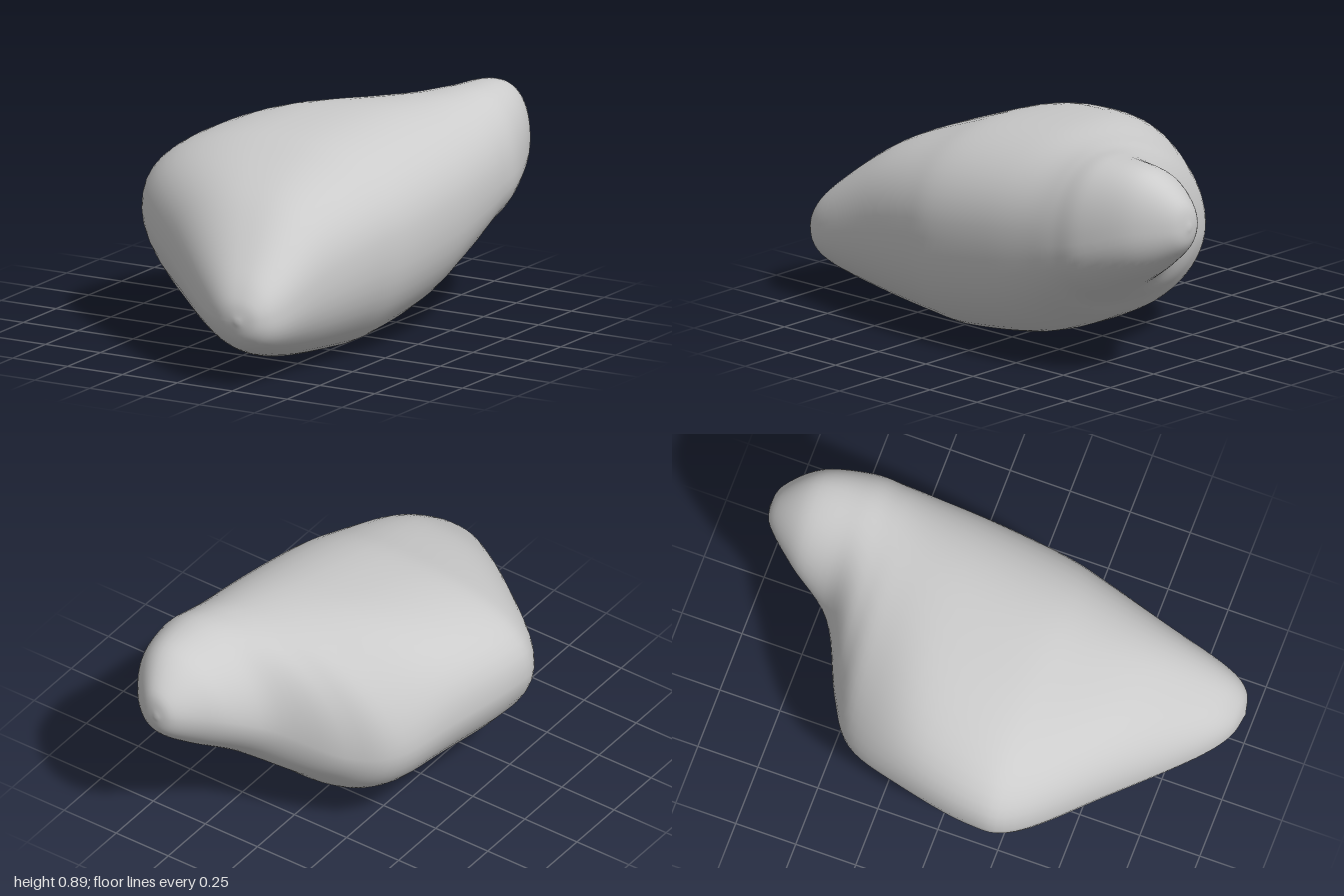
import * as THREE from 'three';
import { mergeVertices } from 'three/addons/utils/BufferGeometryUtils.js';

const FRONT_TIP = new THREE.Vector3(0.27, 0.28, 1);
const BACK_TIP = new THREE.Vector3(0.31, 0.66, -1);

// Cross-sections from front to back: z, then left, top, right and bottom extremes (x, y)
const SECTIONS = [
  [0.97, 0.16, 0.28, 0.26, 0.37, 0.36, 0.28, 0.27, 0.19],
  [0.87, 0.02, 0.30, 0.23, 0.48, 0.415, 0.29, 0.25, 0.125],
  [0.62, -0.26, 0.39, 0.14, 0.67, 0.46, 0.36, 0.18, 0.05],
  [0.34, -0.555, 0.47, 0.06, 0.785, 0.525, 0.42, 0.15, 0.01],
  [0.15, -0.60, 0.50, 0.04, 0.84, 0.565, 0.44, 0.14, 0.003],
  [-0.17, -0.53, 0.48, 0.10, 0.875, 0.587, 0.49, 0.09, 0.04],
  [-0.40, -0.43, 0.42, 0.22, 0.875, 0.588, 0.53, -0.01, 0.13],
  [-0.52, -0.26, 0.41, 0.30, 0.878, 0.585, 0.55, 0.05, 0.23],
  [-0.65, 0.0, 0.51, 0.35, 0.887, 0.576, 0.58, 0.22, 0.33],
  [-0.84, 0.125, 0.62, 0.36, 0.87, 0.51, 0.64, 0.31, 0.45],
  [-0.97, 0.235, 0.66, 0.33, 0.765, 0.40, 0.66, 0.31, 0.565],
];
const RINGS = 72;
const SIDES = 48;

// Roundness exponent of each quarter (upper left, upper right, lower right, lower left)
const FRONT_ROUNDNESS = [2.35, 2.3, 2.15, 1.75];
const BACK_ROUNDNESS = [1.85, 2.25, 2.2, 2.0];

// Smooth line from tip to tip through one extreme of every section
const edgeLine = (k) => new THREE.CatmullRomCurve3([
  FRONT_TIP,
  ...SECTIONS.map((s) => new THREE.Vector3(s[k], s[k + 1], s[0])),
  BACK_TIP,
], false, 'catmullrom', 0.5);

function stoneGeometry() {
  const edges = [1, 3, 5, 7].map(edgeLine);
  const positions = [];
  const index = [];
  for (let i = 0; i <= RINGS; i++) {
    const e = edges.map((line) => line.getPoint(i / RINGS));
    const back = THREE.MathUtils.smoothstep(-e[0].z, 0.05, 0.45);
    for (let j = 0; j < SIDES; j++) {
      // quarter arc between neighbouring extremes: left, top, right, bottom
      const q = Math.floor((4 * j) / SIDES);
      const a = ((4 * j) / SIDES - q) * Math.PI / 2;
      const power = 2 / THREE.MathUtils.lerp(FRONT_ROUNDNESS[q], BACK_ROUNDNESS[q], back);
      const from = e[q];
      const to = e[(q + 1) % 4];
      const u = 1 - Math.pow(Math.cos(a), power);
      const v = Math.pow(Math.sin(a), power);
      const fromSide = q % 2 === 0;
      const x = THREE.MathUtils.lerp(from.x, to.x, fromSide ? u : v);
      const y = THREE.MathUtils.lerp(from.y, to.y, fromSide ? v : u);
      positions.push(x, y, from.z);
      if (i < RINGS) {
        const k = (j + 1) % SIDES;
        const p = i * SIDES;
        const n = p + SIDES;
        if (i > 0) index.push(p + j, p + k, n + j);
        if (i < RINGS - 1) index.push(p + k, n + k, n + j);
      }
    }
  }
  const geometry = new THREE.BufferGeometry();
  geometry.setAttribute('position', new THREE.Float32BufferAttribute(positions, 3));
  geometry.setIndex(index);
  const welded = mergeVertices(geometry, 1e-5);
  welded.computeVertexNormals();
  return welded;
}

export function createModel() {
  const group = new THREE.Group();
  group.name = 'stone';
  const body = new THREE.Mesh(stoneGeometry(), new THREE.MeshStandardMaterial({ color: 0xcccccc }));
  body.name = 'stoneBody';
  group.add(body);
  return group;
}
